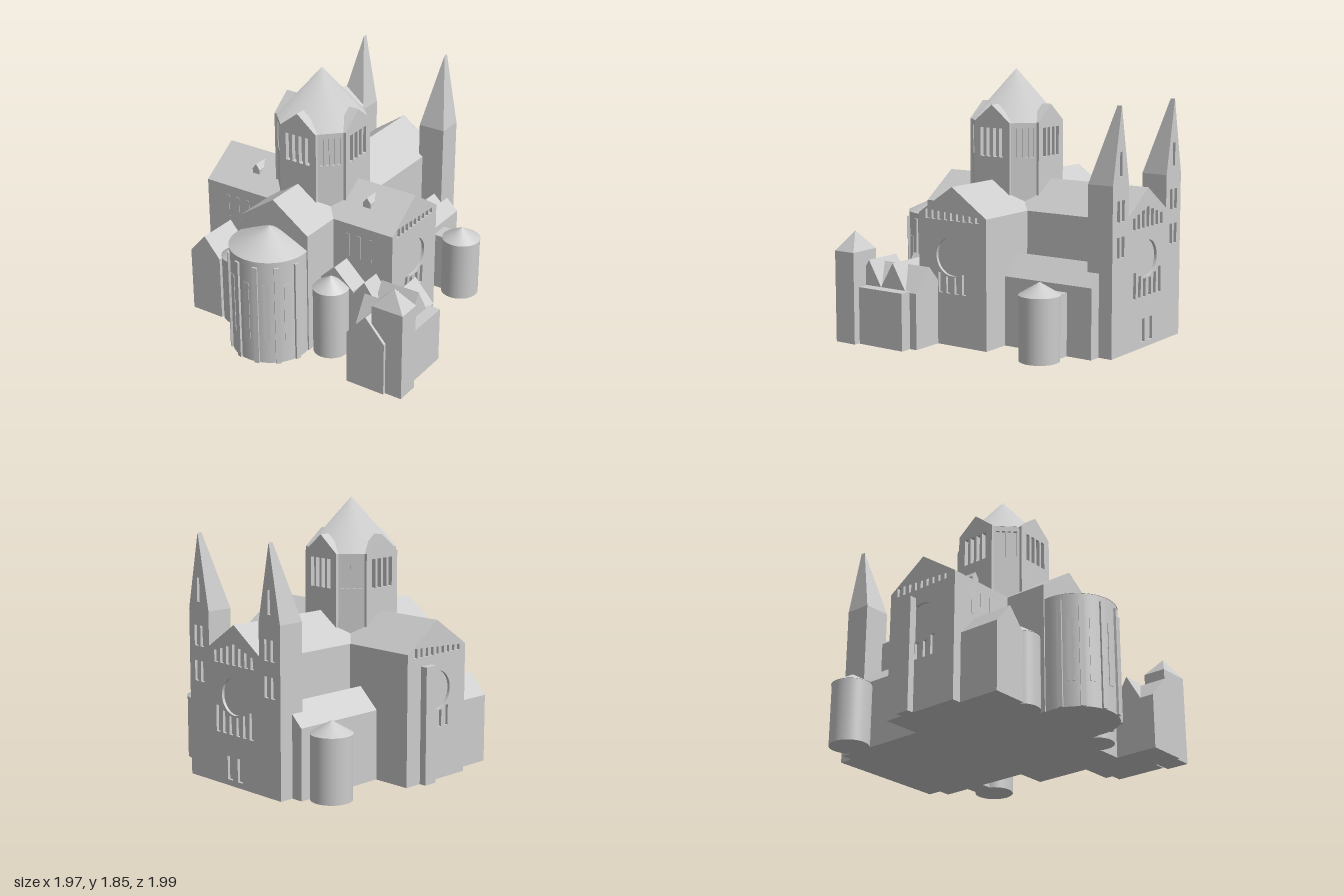
import * as THREE from 'three';
import { ConvexGeometry } from 'three/addons/geometries/ConvexGeometry.js';

const stone = new THREE.MeshStandardMaterial({ color: 0xcccccc });
stone.name = 'pale stone';

const CX = -0.13, CZ = 0.08; // centre of the crossing
const EAVE = 0.895, RIDGE = 1.09;

export function createModel() {
  const root = new THREE.Group();
  root.name = 'church';

  const add = (name, geo, parent = root) => {
    const m = new THREE.Mesh(geo, stone);
    m.name = name;
    parent.add(m);
    return m;
  };
  const polygon = pts => new THREE.Shape(pts.map(p => new THREE.Vector2(p[0], p[1])));
  const extrude = (shape, depth) =>
    new THREE.ExtrudeGeometry(shape, { depth, bevelEnabled: false, curveSegments: 20 });
  const gableShape = (w, eave, ridge, base = 0) =>
    polygon([[-w, base], [w, base], [w, eave], [0, ridge], [-w, eave]]);

  const block = (name, x0, x1, y0, y1, z0, z1) =>
    add(name, new THREE.BoxGeometry(x1 - x0, y1 - y0, z1 - z0)
      .translate((x0 + x1) / 2, (y0 + y1) / 2, (z0 + z1) / 2));

  // Gabled volume with its ridge running along z or along x
  const gableZ = (name, x0, x1, z0, z1, eave, ridge, base = 0) =>
    add(name, extrude(gableShape((x1 - x0) / 2, eave, ridge, base), z1 - z0)
      .translate((x0 + x1) / 2, 0, z0));
  const gableX = (name, x0, x1, z0, z1, eave, ridge, base = 0) =>
    add(name, extrude(gableShape((z1 - z0) / 2, eave, ridge, base), x1 - x0)
      .rotateY(Math.PI / 2).translate(x0, 0, (z0 + z1) / 2));

  // Round turret with a conical roof
  const turret = (name, x, z, r, eave, apex) => {
    add(name + 'Wall', new THREE.CylinderGeometry(r, r, eave, 48).translate(x, eave / 2, z));
    add(name + 'Roof', new THREE.ConeGeometry(r + 0.004, apex - eave, 48)
      .translate(x, (apex + eave) / 2, z));
  };

  // Openings cut into a wall shape
  const slot = (shape, x, y0, y1, w) => {
    const h = w / 2;
    shape.holes.push(new THREE.Path([[x - h, y0], [x - h, y1], [x + h, y1], [x + h, y0]]
      .map(p => new THREE.Vector2(p[0], p[1]))));
  };
  const rose = (shape, x, y, r) => {
    const p = new THREE.Path();
    p.absarc(x, y, r, 0, Math.PI * 2, true);
    shape.holes.push(p);
  };

  // Nave and choir under one ridge
  gableZ('naveAndChoir', -0.41, 0.15, -0.98, 0.665, EAVE, RIDGE);

  // Transept with pierced end walls
  gableX('transept', -0.915, 0.605, -0.21, 0.36, EAVE, RIDGE);
  for (const side of [-1, 1]) {
    const wall = gableShape(0.285, EAVE, RIDGE);
    for (let i = -4; i <= 4; i++) {
      slot(wall, i * 0.0525, 0.86, Math.abs(i) === 4 ? 0.925 : 0.972, 0.032);
    }
    rose(wall, 0, 0.615, 0.134);
    for (const x of [-0.1, -0.035, 0.035, 0.1]) {
      slot(wall, x, 0.36, Math.abs(x) > 0.05 ? 0.5 : 0.475, 0.034);
    }
    const m = add('transeptEndWall', extrude(wall, 0.02).translate(0, 0, -0.02));
    m.rotation.y = side * Math.PI / 2;
    m.position.set(side > 0 ? 0.625 : -0.935, 0, 0.075);
  }
  block('stairPier', -0.985, -0.93, 0, 0.8, -0.08, 0.02);
  for (const x of [-0.595, 0.34]) {
    gableZ('transeptDormer', x - 0.03, x + 0.03, 0.1, 0.235, 1.015, 1.055, 0.95);
  }
  for (const x of [0.27, 0.36, 0.45]) {
    for (const sx of [x, 2 * CX - 0.05 - x]) {
      block('transeptLancet', sx - 0.015, sx + 0.015, 0.65, 0.82, 0.357, 0.363);
    }
  }

  // Aisles beside the nave and chapels beside the choir
  for (const x of [-0.51, 0.26]) {
    gableZ('naveAisle', x - 0.15, x + 0.15, -0.9, -0.2, 0.48, 0.62);
    gableZ('choirAisle', x - 0.15, x + 0.15, 0.35, 0.51, 0.48, 0.622);
    turret('choirChapel', x - (x < 0 ? 0.005 : -0.005), 0.56, 0.124, 0.5, 0.585);
  }
  gableZ('sideAnnex', -0.87, -0.615, 0.35, 0.66, 0.475, 0.622);
  gableZ('linkRoom', 0.4, 0.6, 0.35, 0.51, 0.45, 0.58);

  // Round chapels beside the nave
  turret('naveChapelRight', -0.76, -0.73, 0.138, 0.44, 0.525);
  turret('naveChapelLeft', 0.605, -0.625, 0.136, 0.44, 0.525);
  block('chapelLink', 0.4, 0.55, 0, 0.43, -0.71, -0.565);

  // Main apse with buttress strips and long windows
  turret('apse', CX, 0.71, 0.275, 0.785, 0.915);
  const around = (name, degrees, w, y0, y1, rIn, rOut) => {
    const m = add(name, new THREE.BoxGeometry(w, y1 - y0, rOut - rIn)
      .translate(0, (y0 + y1) / 2, (rIn + rOut) / 2));
    m.position.set(CX, 0, 0.71);
    m.rotation.y = THREE.MathUtils.degToRad(degrees);
  };
  for (const a of [-75, -45, -15, 15, 45, 75]) around('apseButtress', a, 0.034, 0, 0.745, 0.262, 0.29);
  for (const a of [-60, -30, 0, 30, 60]) around('apseWindow', a, 0.043, 0.175, 0.61, 0.27, 0.278);

  // Rear facade: twin towers and the nave gable in one pierced wall
  const facade = polygon([
    [-0.575, 0], [0.32, 0], [0.32, 1.145], [0.22, 1.66], [0.12, 1.145], [0.12, 0.916],
    [CX, RIDGE], [-0.375, 0.92], [-0.375, 1.145], [-0.475, 1.66], [-0.575, 1.145],
  ]);
  for (let i = -3; i <= 3; i++) slot(facade, CX + i * 0.06, 0.82, 0.96 - Math.abs(i) * 0.02, 0.035);
  rose(facade, CX, 0.61, 0.125);
  for (const x of [-0.1, -0.035, 0.035, 0.1]) {
    slot(facade, CX + x, 0.35, Math.abs(x) > 0.05 ? 0.5 : 0.475, 0.036);
  }
  for (const x of [-0.165, 0.165]) slot(facade, CX + x, 0.35, 0.53, 0.036);
  for (const x of [-0.05, 0.05]) slot(facade, CX + x, 0.04, 0.2, 0.05);
  for (const tx of [-0.475, 0.22]) {
    for (const x of [-0.03, 0.03]) {
      slot(facade, tx + x, 0.9, 1.04, 0.036);
      slot(facade, tx + x, 0.66, 0.8, 0.036);
    }
    slot(facade, tx, 1.2, 1.36, 0.03);
    // Tower shaft and spire, hipped towards the nave
    block('towerShaft', tx - 0.1, tx + 0.1, 0, 1.145, -0.98, -0.81);
    add('towerSpire', new ConvexGeometry([
      [-0.1, 1.145, -0.98], [0.1, 1.145, -0.98], [0.1, 1.145, -0.81], [-0.1, 1.145, -0.81],
      [0, 1.66, -0.98], [0, 1.66, -0.967],
    ].map(p => new THREE.Vector3(tx + p[0], p[1], p[2]))));
  }
  add('rearFacade', extrude(facade, 0.02).translate(0, 0, -1));

  // Octagonal crossing tower
  const crossing = new THREE.Group();
  crossing.name = 'crossingTower';
  crossing.position.set(CX, 0, CZ);
  root.add(crossing);
  const octagon = (a, b) =>
    [[b, a], [a, b], [a, -b], [b, -a], [-b, -a], [-a, -b], [-a, b], [-b, a]];
  add('octagonCore', extrude(polygon(octagon(0.26, 0.14)), 0.6)
    .rotateX(-Math.PI / 2).translate(0, 0.885, 0), crossing);
  for (let i = 0; i < 4; i++) {
    // Gabled main face with four lights, backed by a thicker gable
    const face = gableShape(0.15, 1.49, 1.61, 0.88);
    for (const x of [-0.08, -0.027, 0.027, 0.08]) slot(face, x, 1.25, 1.45, 0.034);
    const m = add('gabledFace', extrude(face, 0.035).translate(0, 0, 0.26), crossing);
    m.rotation.y = i * Math.PI / 2;
    const back = add('gableBack', extrude(gableShape(0.15, 1.49, 1.61, 1.475), 0.04)
      .translate(0, 0, 0.22), crossing);
    back.rotation.y = m.rotation.y;
    // Diagonal face with four narrow lights
    const diag = polygon([[-0.0885, 0.88], [0.0885, 0.88], [0.0885, 1.49], [-0.0885, 1.49]]);
    for (const x of [-0.06, -0.02, 0.02, 0.06]) slot(diag, x, 1.25, 1.45, 0.024);
    const d = add('diagonalFace', extrude(diag, 0.02).translate(0, 0, 0.2805), crossing);
    d.rotation.y = (i + 0.5) * Math.PI / 2;
  }
  // Tent roof: an eight-sided cone fitted to the octagon
  const roof = new THREE.ConeGeometry(1, 0.36, 8, 6).rotateY(Math.PI / 8);
  const p = roof.attributes.position;
  const wide = 0.278 / Math.cos(Math.PI / 8), narrow = 0.15 / Math.sin(Math.PI / 8);
  for (let i = 0; i < p.count; i++) {
    const x = p.getX(i), z = p.getZ(i), xIsLong = Math.abs(x) > Math.abs(z);
    p.setXYZ(i, x * (xIsLong ? wide : narrow), p.getY(i), z * (xIsLong ? narrow : wide));
  }
  add('tentRoof', roof.translate(0, 1.668, 0), crossing);

  // Cluster of small buildings at the front left
  gableZ('vestry', 0.57, 0.86, 0.2, 0.825, 0.385, 0.545);
  gableX('vestryCrossGable', 0.57, 0.86, 0.295, 0.505, 0.395, 0.572);
  gableX('vestryCrossGable', 0.57, 0.86, 0.505, 0.715, 0.395, 0.572);
  block('vestryWing', 0.85, 0.945, 0, 0.395, 0.255, 0.63);
  block('cornerTower', 0.75, 0.985, 0, 0.635, 0.64, 0.805);
  add('cornerTowerRoof', new ConvexGeometry([
    [0.75, 0.635, 0.64], [0.985, 0.635, 0.64], [0.985, 0.635, 0.805], [0.75, 0.635, 0.805],
    [0.868, 0.765, 0.722],
  ].map(v => new THREE.Vector3(...v))));

  return root;
}
